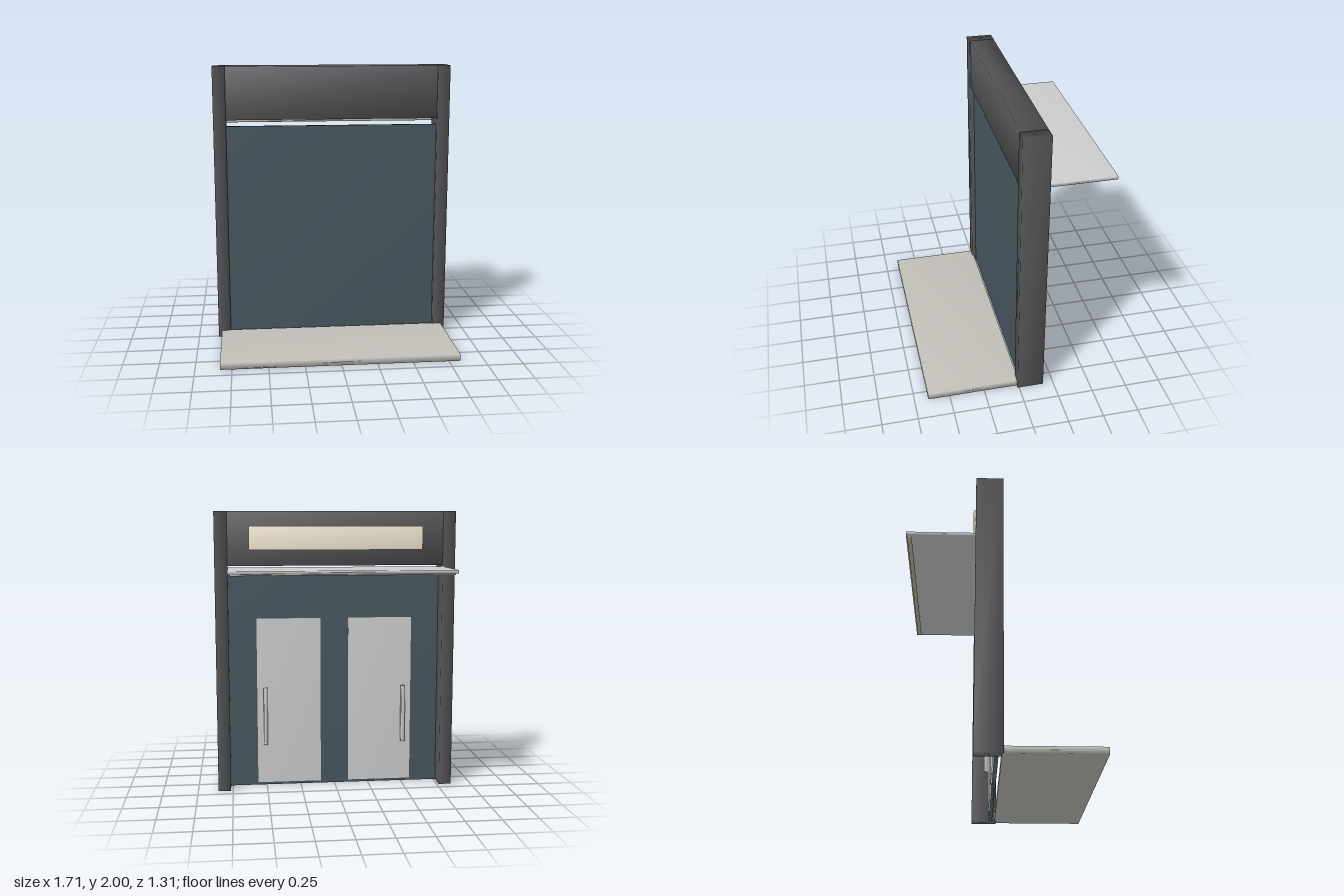
import * as THREE from 'three';
import { mergeVertices } from 'three/addons/utils/BufferGeometryUtils.js';

const material = (color) => new THREE.MeshStandardMaterial({ color });

// Box given by its ranges on each axis, with normals shared across its corners
function block(name, [x0, x1], [y0, y1], [z0, z1], mat) {
  let geo = new THREE.BoxGeometry(x1 - x0, y1 - y0, z1 - z0);
  geo.deleteAttribute('uv');
  geo.deleteAttribute('normal');
  geo = mergeVertices(geo);
  geo.computeVertexNormals();
  const mesh = new THREE.Mesh(geo, mat);
  mesh.name = name;
  mesh.position.set((x0 + x1) / 2, (y0 + y1) / 2, (z0 + z1) / 2);
  return mesh;
}

export function createModel() {
  const model = new THREE.Group();
  model.name = 'entrance';

  const frameMat = material(0x555558);
  const wallMat = material(0x46565e);
  const metalMat = material(0xcccccc);
  const stoneMat = material(0xc0beb7);
  const signMat = material(0xf5ead6);
  const trimMat = material(0xbfb59f);

  // Frame: header beam and infill wall between the posts
  model.add(block('header', [-0.765, 0.765], [1.62, 2], [-0.175, 0], frameMat));
  model.add(block('wall', [-0.765, 0.765], [0, 1.573], [-0.045, -0.02], wallMat));

  // Floor slab on the front side
  model.add(block('floorSlab', [-0.83, 0.83], [0, 0.047], [0, 0.653], stoneMat));

  // Canopy with a light strip under its outer edge
  model.add(block('canopy', [-0.762, 0.762], [1.586, 1.61], [-0.653, -0.17], metalMat));
  model.add(block('canopyStrip', [-0.745, 0.745], [1.577, 1.586], [-0.645, -0.615], trimMat));

  // Blank sign panel on the header
  model.add(block('signPanel', [-0.615, 0.615], [1.73, 1.897], [-0.191, -0.172], signMat));

  // Posts, door leaves and pull handles on both sides
  for (const [side, s] of [['left', 1], ['right', -1]]) {
    const span = (a, b) => (s > 0 ? [a, b] : [-b, -a]);
    model.add(block(side + 'Post', span(0.765, 0.855), [0, 2], [-0.176, 0.011], frameMat));

    const door = new THREE.Group();
    door.name = side + 'Door';
    door.add(block(side + 'DoorLeaf', span(0.102, 0.565), [0.02, 1.235], [-0.054, -0.04], metalMat));
    door.add(block(side + 'DoorHandle', span(0.492, 0.52), [0.31, 0.73], [-0.088, -0.054], metalMat));
    model.add(door);
  }
  return model;
}
